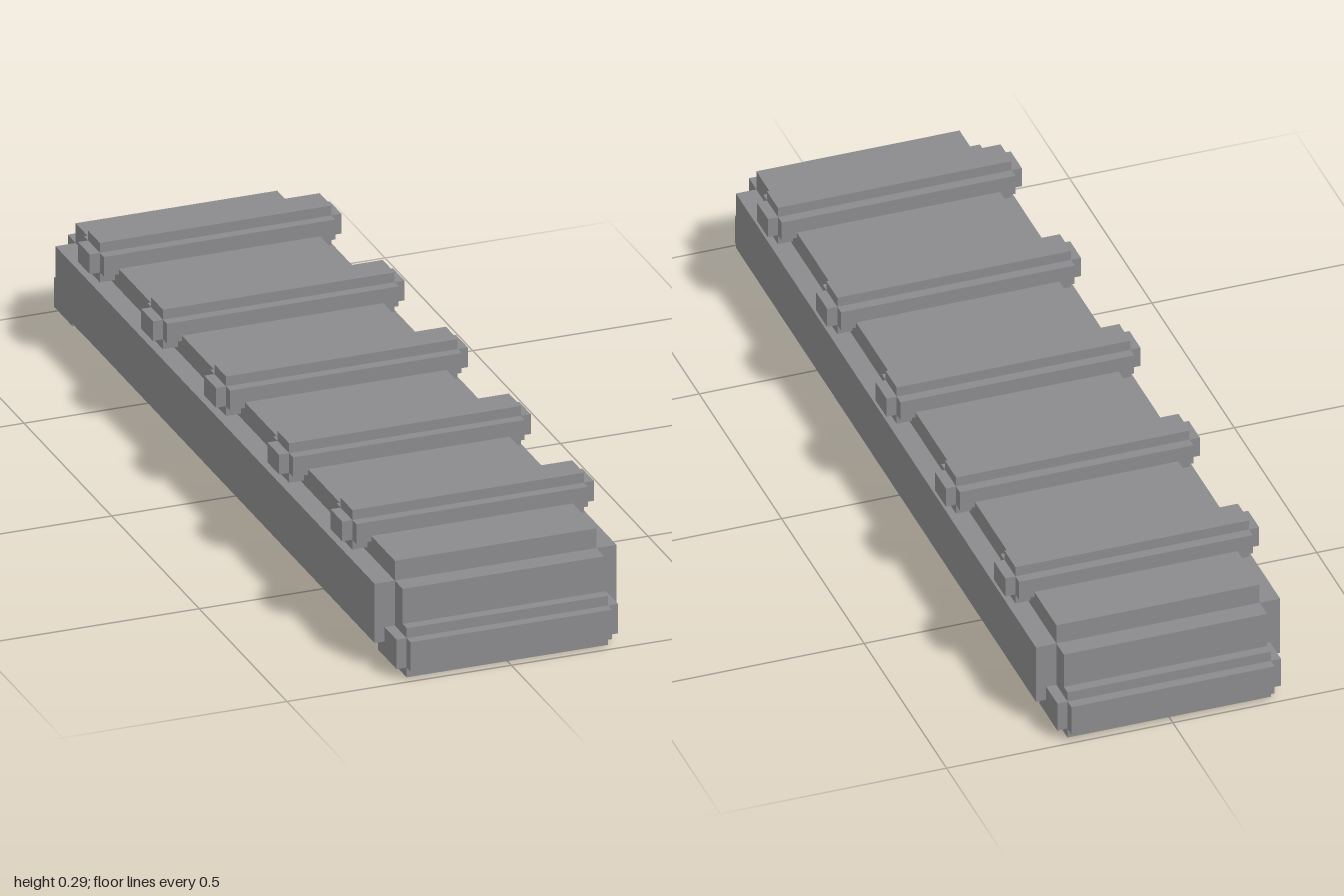
import * as THREE from 'three';

const material = new THREE.MeshStandardMaterial({ color: 0x8b8b8d });

// Block with stepped edges: three crossed boxes, each full size along one axis
// and inset by `step` along the other two.
function steppedBlock(name, size, step, position) {
  const block = new THREE.Group();
  block.name = name;
  ['X', 'Y', 'Z'].forEach((axis, i) => {
    const dims = size.map((s, j) => (j === i ? s : s - 2 * step));
    const mesh = new THREE.Mesh(new THREE.BoxGeometry(...dims), material);
    mesh.name = `${name}Core${axis}`;
    block.add(mesh);
  });
  block.position.set(...position);
  return block;
}

export function createModel() {
  const model = new THREE.Group();
  model.name = 'ribbedBeam';

  // Long main body
  model.add(steppedBlock('body', [0.539, 0.225, 1.91], 0.045, [0, 0.1245, 0]));

  // Feet at both ends
  for (const side of [1, -1]) {
    const name = side > 0 ? 'frontFoot' : 'backFoot';
    model.add(steppedBlock(name, [0.494, 0.112, 0.152], 0.0225, [0, 0.056, side * 0.924]));
  }

  // Five cross bars along the top
  for (let i = -2; i <= 2; i++) {
    model.add(steppedBlock(`crossBar${i + 3}`, [0.561, 0.09, 0.112], 0.0225, [0, 0.247, i * 0.36]));
  }

  return model;
}
